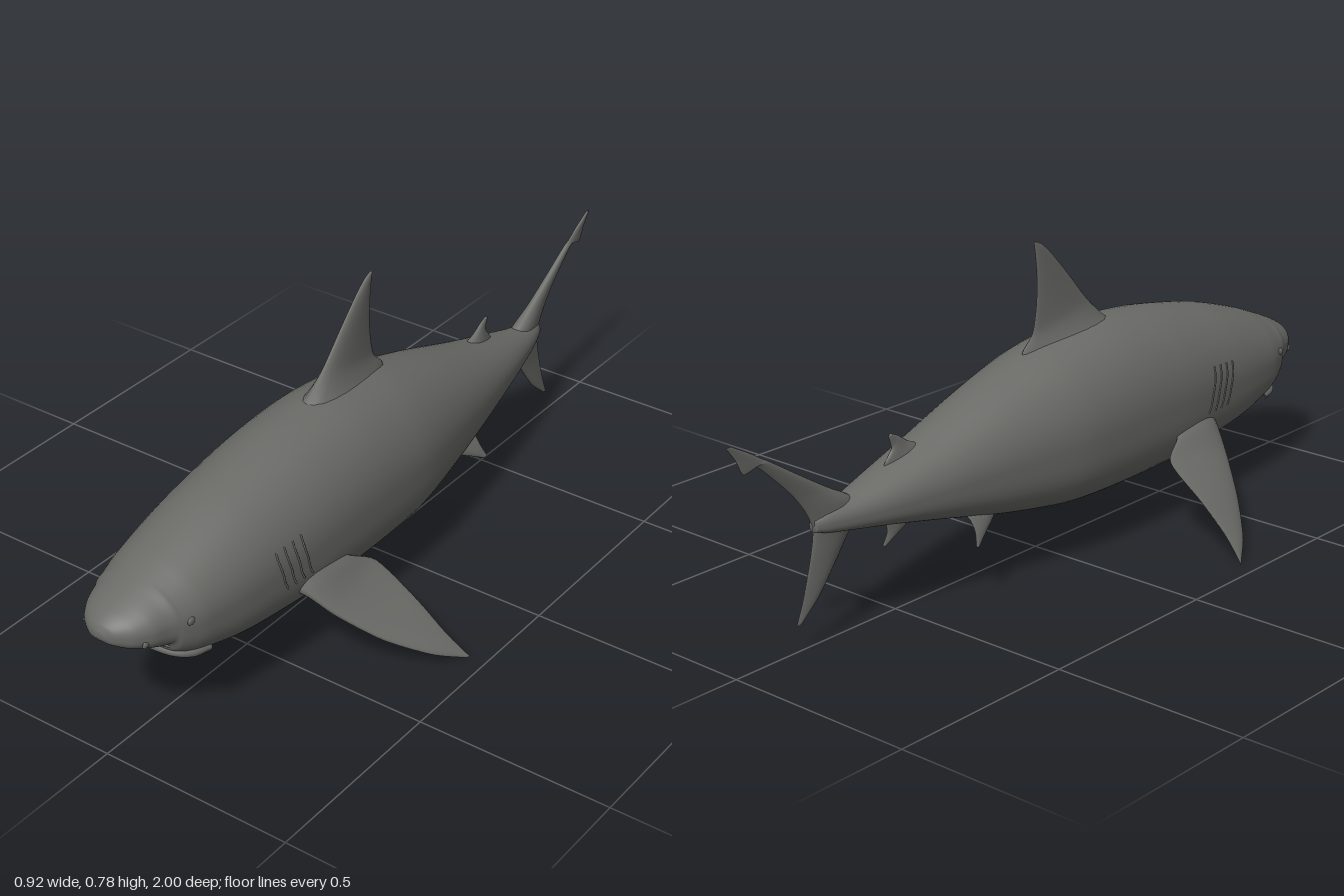
import * as THREE from 'three';

const skin = new THREE.MeshStandardMaterial({ color: 0x6a6a67 });
skin.name = 'grey skin';
const V = (x, y, z) => new THREE.Vector3(x, y, z);

// Smooth closed skin through rings of points, ends collapsed to a point, facing outwards
function loft(rings) {
  const n = rings[0].length;
  const centre = (r) => r.reduce((s, p) => s.add(p), V(0, 0, 0)).divideScalar(n);
  const pts = rings.flat();
  const first = pts.push(centre(rings[0])) - 1;
  const last = pts.push(centre(rings[rings.length - 1])) - 1;
  const idx = [];
  for (let i = 0; i < rings.length - 1; i++) {
    for (let j = 0; j < n; j++) {
      const k = (j + 1) % n, a = i * n, b = a + n;
      idx.push(a + j, a + k, b + j, a + k, b + k, b + j);
    }
  }
  const end = (rings.length - 1) * n;
  for (let j = 0; j < n; j++) {
    const k = (j + 1) % n;
    idx.push(first, k, j, last, end + j, end + k);
  }
  let volume = 0;
  const c = pts[first];
  for (let i = 0; i < idx.length; i += 3) {
    const [p, q, r] = [0, 1, 2].map((m) => pts[idx[i + m]].clone().sub(c));
    volume += p.dot(q.cross(r));
  }
  if (volume < 0) idx.reverse();
  const g = new THREE.BufferGeometry().setFromPoints(pts);
  g.setIndex(idx);
  g.computeVertexNormals();
  return g;
}

// Body stations: z, top y, bottom y, half width
const stations = [
  [1, 0.338, 0.322, 0.012], [0.99, 0.355, 0.307, 0.04], [0.965, 0.373, 0.291, 0.073],
  [0.93, 0.39, 0.276, 0.097], [0.895, 0.405, 0.262, 0.11], [0.875, 0.413, 0.257, 0.12],
  [0.863, 0.418, 0.234, 0.126], [0.84, 0.427, 0.216, 0.134], [0.8, 0.442, 0.2, 0.145],
  [0.7, 0.474, 0.172, 0.16], [0.6, 0.5, 0.156, 0.17], [0.4, 0.535, 0.137, 0.183],
  [0.2, 0.548, 0.13, 0.185], [0, 0.525, 0.135, 0.178], [-0.2, 0.472, 0.165, 0.146],
  [-0.4, 0.405, 0.208, 0.108], [-0.55, 0.36, 0.238, 0.075], [-0.65, 0.333, 0.254, 0.048],
  [-0.72, 0.32, 0.265, 0.027], [-0.755, 0.305, 0.275, 0.012],
];
const heights = new THREE.CatmullRomCurve3(stations.map((s) => V(s[1], s[2], s[0])), false, 'catmullrom', 0.4);
const widths = new THREE.CatmullRomCurve3(stations.map((s) => V(s[3], 0, s[0])), false, 'catmullrom', 0.4);

// Section is an ellipse above its widest line and a fuller, flatter curve below
function bodyPoint(t, a) {
  const h = heights.getPoint(t), w = widths.getPoint(t).x;
  const mid = h.y + 0.47 * (h.x - h.y);
  const c = Math.cos(a), s = Math.sin(a), e = s >= 0 ? 1 : 2 / 3;
  const x = w * Math.sign(c) * Math.abs(c) ** e;
  const y = s >= 0 ? mid + (h.x - mid) * s : mid - (mid - h.y) * (-s) ** e;
  return V(x, y, h.z);
}
function stationAt(z) {
  let lo = 0, hi = 1;
  for (let i = 0; i < 30; i++) {
    const m = (lo + hi) / 2;
    if (heights.getPoint(m).z > z) lo = m; else hi = m;
  }
  return lo;
}
function bodyGeometry() {
  const rings = [];
  for (let i = 0; i <= 114; i++) {
    rings.push(Array.from({ length: 56 }, (_, j) => bodyPoint(i / 114, (j / 56) * Math.PI * 2)));
  }
  return loft(rings);
}

// Fin from leading and trailing edge points, root to tip, with half thicknesses
function fin(lead, trail, thick, normal, steps = 28) {
  const curve = (p) => new THREE.CatmullRomCurve3(p.map((q) => V(...q)), false, 'catmullrom', 0.4);
  const L = curve(lead), T = curve(trail);
  const H = curve(thick.map((t) => [t, 0, 0]));
  const n = V(...normal).normalize();
  const rings = [];
  for (let i = 0; i <= steps; i++) {
    const t = i / steps, a = L.getPoint(t), b = T.getPoint(t), h = H.getPoint(t).x;
    rings.push(Array.from({ length: 20 }, (_, j) => {
      const ang = (j / 20) * Math.PI * 2, u = (1 - Math.cos(ang)) / 2;
      return a.clone().lerp(b, u).addScaledVector(n, h * Math.sin(ang) * 1.3 * (1 - 0.6 * u));
    }));
  }
  return loft(rings);
}
// Fin lying in the middle plane, edges given as [z, y]
const midFin = (lead, trail, thick, steps) =>
  fin(lead.map(([z, y]) => [0, y, z]), trail.map(([z, y]) => [0, y, z]), thick, [1, 0, 0], steps);

export function createModel() {
  const model = new THREE.Group();
  const add = (name, geometry) => {
    const m = new THREE.Mesh(geometry, skin);
    m.name = name;
    model.add(m);
    return m;
  };

  add('body', bodyGeometry());

  // Fins on the middle line
  add('dorsalFin', midFin(
    [[0.29, 0.52], [0.24, 0.56], [0.19, 0.605], [0.12, 0.682], [0.06, 0.744], [0.025, 0.774], [0, 0.786]],
    [[-0.05, 0.5], [-0.045, 0.522], [-0.01, 0.56], [0.004, 0.63], [0.005, 0.7], [0, 0.75], [-0.005, 0.783]],
    [0.06, 0.034, 0.017, 0.011, 0.008, 0.006, 0.003]));
  add('secondDorsalFin', midFin(
    [[-0.4, 0.385], [-0.45, 0.408], [-0.48, 0.428], [-0.502, 0.438]],
    [[-0.53, 0.355], [-0.525, 0.372], [-0.503, 0.4], [-0.511, 0.433]],
    [0.02, 0.011, 0.006, 0.003]));
  add('analFin', midFin(
    [[-0.4, 0.23], [-0.45, 0.21], [-0.495, 0.187], [-0.53, 0.17]],
    [[-0.53, 0.25], [-0.525, 0.225], [-0.523, 0.2], [-0.538, 0.173]],
    [0.018, 0.011, 0.006, 0.003]));
  add('tailFin', midFin(
    [[-0.8, 0.068], [-0.743, 0.118], [-0.685, 0.193], [-0.645, 0.25], [-0.61, 0.292], [-0.64, 0.33],
      [-0.71, 0.37], [-0.79, 0.42], [-0.875, 0.475], [-0.9, 0.49], [-0.935, 0.512], [-0.985, 0.54]],
    [[-0.815, 0.066], [-0.795, 0.118], [-0.772, 0.193], [-0.759, 0.25], [-0.757, 0.285], [-0.775, 0.325],
      [-0.805, 0.367], [-0.85, 0.415], [-0.922, 0.478], [-0.954, 0.466], [-0.975, 0.505], [-1, 0.54]],
    [0.003, 0.006, 0.01, 0.016, 0.024, 0.022, 0.014, 0.01, 0.007, 0.006, 0.005, 0.003], 66));

  // Paired parts
  for (const [side, s] of [['left', 1], ['right', -1]]) {
    const flip = (pts) => pts.map(([x, y, z]) => [x * s, y, z]);
    add(side + 'PectoralFin', fin(
      flip([[0.13, 0.245, 0.53], [0.18, 0.222, 0.503], [0.24, 0.168, 0.468], [0.325, 0.095, 0.4],
        [0.405, 0.037, 0.315], [0.452, 0.005, 0.243]]),
      flip([[0.13, 0.265, 0.36], [0.18, 0.24, 0.335], [0.212, 0.2, 0.268], [0.32, 0.125, 0.256],
        [0.4, 0.058, 0.25], [0.458, 0.006, 0.235]]),
      [0.036, 0.02, 0.013, 0.01, 0.007, 0.003], [0.64 * s, 0.77, 0]));
    add(side + 'PelvicFin', fin(
      flip([[0.06, 0.205, -0.2], [0.083, 0.178, -0.25], [0.102, 0.155, -0.3], [0.115, 0.137, -0.335]]),
      flip([[0.06, 0.225, -0.35], [0.085, 0.2, -0.335], [0.103, 0.172, -0.335], [0.117, 0.14, -0.346]]),
      [0.016, 0.01, 0.006, 0.003], [0.77 * s, 0.64, 0]));

    // Gill slits follow the flank
    for (let i = 0; i < 4; i++) {
      const path = [];
      for (let j = 0; j <= 6; j++) {
        const u = j / 6;
        const p = bodyPoint(stationAt(0.585 - i * 0.028 - 0.03 * u * u), 0.33 - 0.5 * u);
        p.x *= s;
        path.push(p);
      }
      const slit = add(side + 'GillSlit', new THREE.TubeGeometry(new THREE.CatmullRomCurve3(path), 16, 0.0025, 6));
      slit.userData.row = i;
    }

    // Nostril and eye bulges
    const bump = (name, z, angle, size) => {
      const p = bodyPoint(stationAt(z), angle);
      const m = add(name, new THREE.SphereGeometry(size, 16, 10));
      m.position.set(p.x * s, p.y, p.z);
      m.scale.set(0.4, 0.8, 1);
    };
    bump(side + 'Nostril', 0.945, -0.3, 0.011);
    bump(side + 'Eye', 0.845, 0.15, 0.012);
  }

  // Lower lip and upper lip fold around the mouth
  const lip = (name, y, z, r) => add(name, new THREE.TubeGeometry(new THREE.CatmullRomCurve3(
    [[-0.122, -0.012, -0.085], [-0.113, -0.006, -0.04], [-0.085, 0, -0.011], [0, 0.002, 0],
      [0.085, 0, -0.011], [0.113, -0.006, -0.04], [0.122, -0.012, -0.085]]
      .map((p) => V(p[0], p[1] + y, p[2] + z))), 48, r, 10));
  lip('lowerLip', 0.234, 0.864, 0.011);
  lip('upperLip', 0.26, 0.876, 0.007);

  return model;
}
